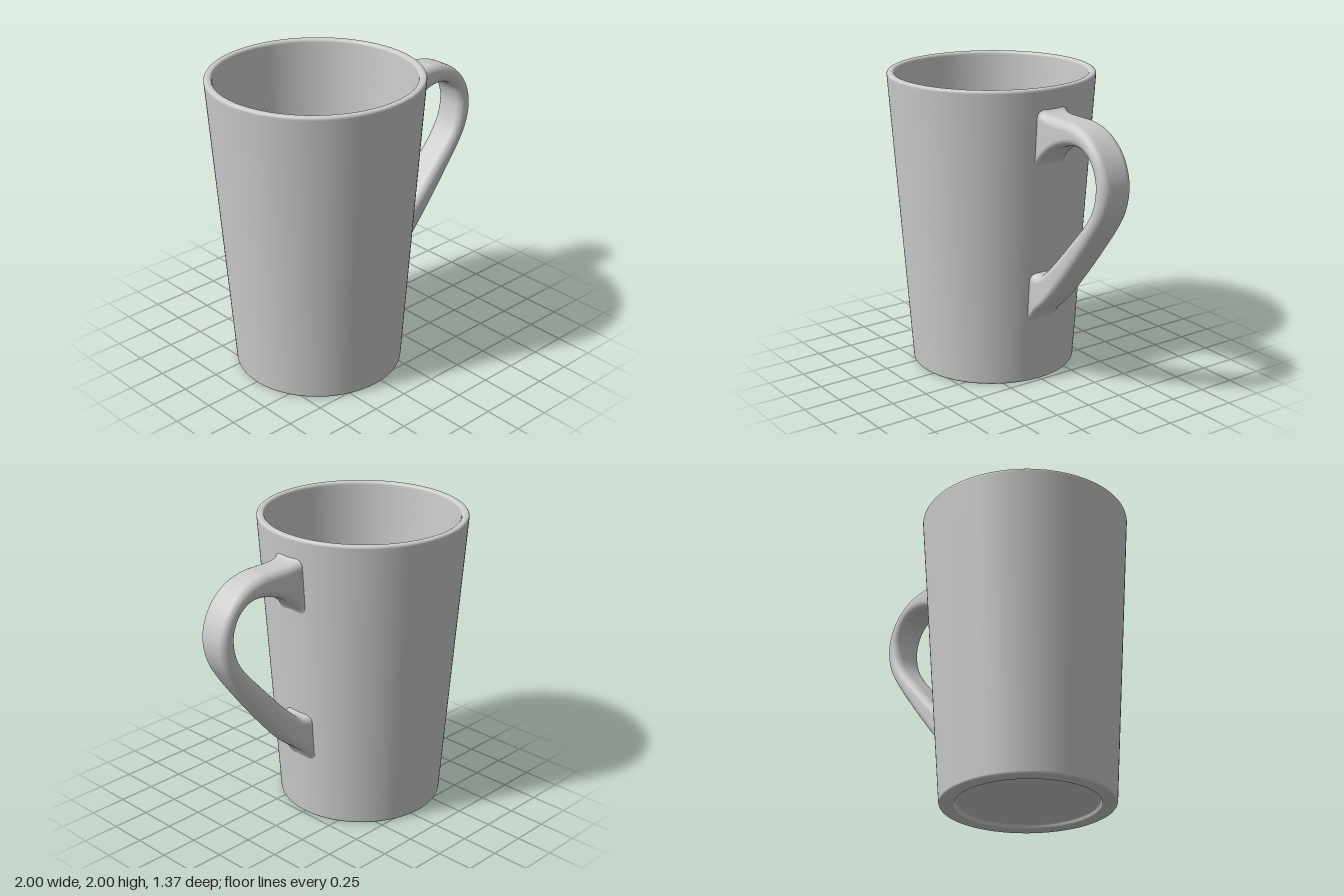
import * as THREE from 'three';

const material = new THREE.MeshStandardMaterial({ color: 0xcccccc });
const CENTRE_X = -0.315;

// Profile through [radius, height, fillet] corners, each corner rounded off
function filletedProfile(corners) {
  const out = [];
  corners.forEach(([x, y, r], i) => {
    const p = new THREE.Vector2(x, y);
    if (!r) return out.push(p);
    const toward = (q) => new THREE.Vector2(q[0], q[1]).sub(p).setLength(r).add(p);
    const a = toward(corners[i - 1]), b = toward(corners[i + 1]);
    out.push(...new THREE.QuadraticBezierCurve(a, p, b).getPoints(8));
  });
  return out;
}

function createBody() {
  const profile = filletedProfile([
    [0, 0.03, 0], [0.445, 0.03, 0.012], [0.455, 0, 0.012], // recessed underside and foot ring
    [0.549, 0, 0.018], [0.685, 2, 0.022],                  // outer wall
    [0.635, 2, 0.022], [0.5, 0.12, 0.07], [0, 0.12, 0],    // rim, inner wall and floor
  ]);
  const body = new THREE.Mesh(new THREE.LatheGeometry(profile, 128), material);
  body.name = 'cupBody';
  body.position.x = CENTRE_X;
  return body;
}

// Rounded rectangle section with half sizes h (across) and w (sideways)
function roundedSection(h, w) {
  const r = Math.min(0.055, h * 0.95), pts = [];
  [[1, 1], [-1, 1], [-1, -1], [1, -1]].forEach(([su, sz], q) => {
    for (let k = 0; k <= 7; k++) {
      const a = (q + k / 7) * Math.PI / 2;
      pts.push([su * (h - r) + r * Math.cos(a), sz * (w - r) + r * Math.sin(a)]);
    }
  });
  return pts;
}

function createHandle() {
  const curve = (pts) => new THREE.CatmullRomCurve3(pts.map(([x, y]) => new THREE.Vector3(x, y, 0)));
  // Matching points along the outer and inner edges, from top joint to bottom joint
  const outer = curve([
    [0.335, 1.9], [0.366, 1.856], [0.42, 1.84], [0.53, 1.836], [0.66, 1.834], [0.8, 1.793],
    [0.92, 1.69], [0.983, 1.57], [0.999, 1.46], [0.972, 1.33], [0.9, 1.2],
    [0.75, 0.995], [0.56, 0.76], [0.41, 0.595], [0.3, 0.5], [0.268, 0.455], [0.24, 0.41],
  ]);
  const inner = curve([
    [0.31, 1.45], [0.345, 1.52], [0.4, 1.578], [0.5, 1.645], [0.66, 1.694], [0.77, 1.682],
    [0.85, 1.625], [0.887, 1.54], [0.89, 1.46], [0.866, 1.355], [0.81, 1.26],
    [0.66, 1.09], [0.49, 0.905], [0.39, 0.81], [0.335, 0.772], [0.295, 0.77], [0.262, 0.785],
  ]);

  const STEPS = 128, positions = [], index = [];
  let ring = 0;
  for (let i = 0; i <= STEPS; i++) {
    const t = i / STEPS;
    const a = outer.getPoint(t), b = inner.getPoint(t);
    const mid = a.clone().add(b).multiplyScalar(0.5);
    const across = a.clone().sub(b);
    const h = across.length() / 2;
    across.normalize();
    // Slight sideways flare where the handle blends into the wall
    const end = Math.max(0, 1 - Math.min(t, 1 - t) / 0.12);
    const section = roundedSection(h, 0.112 + 0.014 * end ** 3);
    ring = section.length;
    for (const [u, z] of section) positions.push(mid.x + across.x * u, mid.y + across.y * u, z);
  }
  for (let i = 0; i < STEPS; i++) {
    for (let j = 0; j < ring; j++) {
      const k = (j + 1) % ring;
      const a = i * ring + j, b = i * ring + k, c = a + ring, d = b + ring;
      index.push(a, b, c, b, d, c);
    }
  }
  const geometry = new THREE.BufferGeometry();
  geometry.setAttribute('position', new THREE.Float32BufferAttribute(positions, 3));
  geometry.setIndex(index);
  geometry.computeVertexNormals();
  const handle = new THREE.Mesh(geometry, material);
  handle.name = 'handle';
  return handle;
}

export function createModel() {
  const mug = new THREE.Group();
  mug.name = 'mug';
  mug.add(createBody(), createHandle());
  return mug;
}
